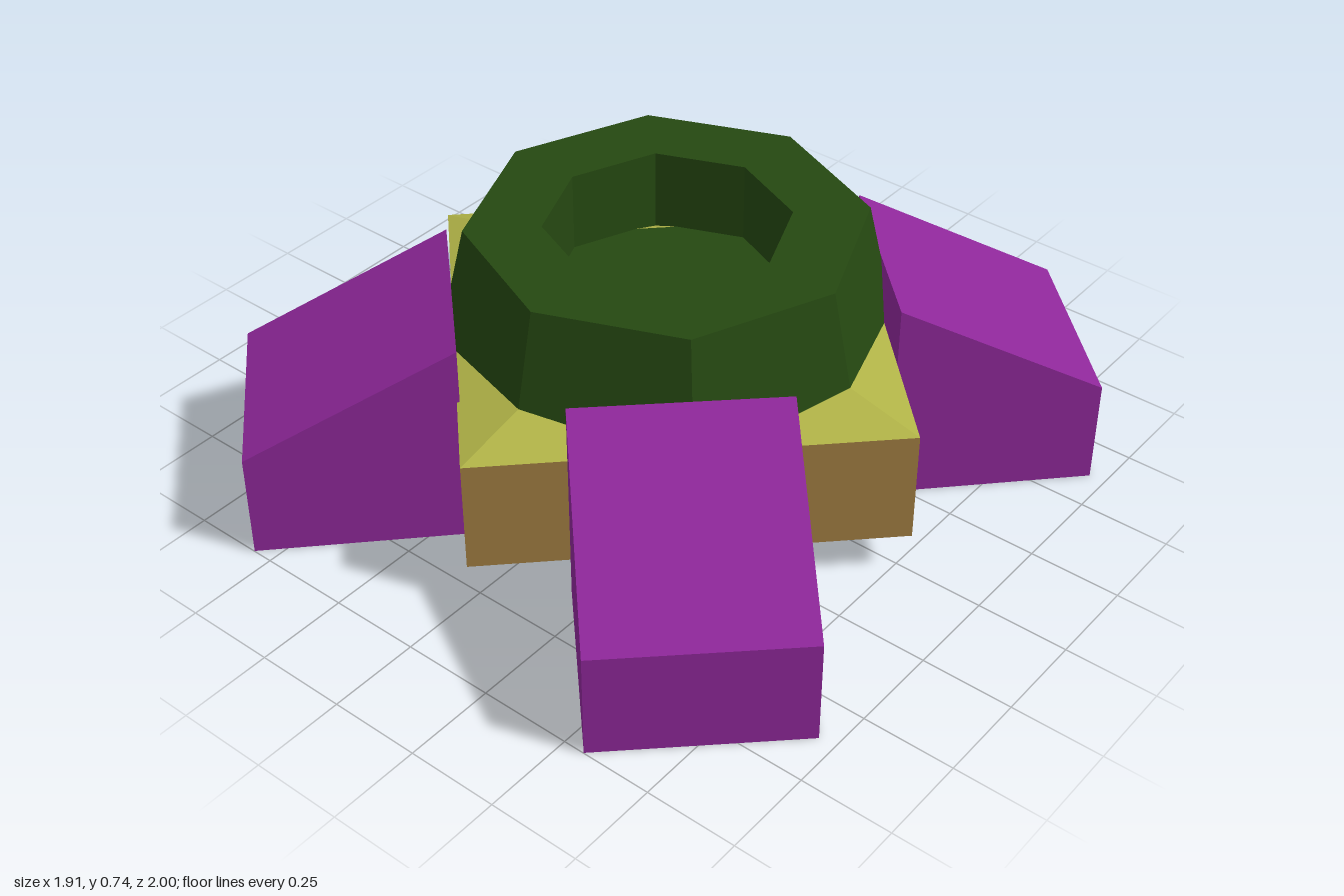
import * as THREE from 'three';

const mat = (name, color) => {
  const m = new THREE.MeshStandardMaterial({ color });
  m.name = name;
  return m;
};

export function createModel() {
  const green = mat('dark green', 0x254811);
  const purple = mat('purple', 0x8e2799);
  const yellow = mat('olive yellow', 0xb0b347);
  const brown = mat('brown', 0xa07d42);

  const model = new THREE.Group();
  model.name = 'turretBase';

  // Faceted mesh helper
  const add = (name, geometry, material, y = 0) => {
    const g = geometry.toNonIndexed();
    g.computeVertexNormals();
    const mesh = new THREE.Mesh(g, material);
    mesh.name = name;
    mesh.position.y = y;
    model.add(mesh);
    return mesh;
  };

  // Octagonal body, widest at mid height, with a socket in the top
  const profile = [[0, 0.02], [0.52, 0.02], [0.602, 0.38], [0.52, 0.74], [0.32, 0.74], [0.32, 0.48]]
    .map(([x, y]) => new THREE.Vector2(x, y));
  add('body', new THREE.LatheGeometry(profile, 8), green);

  // Square collar through the body: sloped roof, upright sides, sloped underside
  add('collarRoof', new THREE.CylinderGeometry(0.42, 0.79, 0.09, 4), [yellow, green, yellow], 0.475);
  add('collarSides', new THREE.CylinderGeometry(0.79, 0.79, 0.315, 4, 1, true), brown, 0.2725);
  add('collarUnderside', new THREE.CylinderGeometry(0.79, 0.42, 0.055, 4), purple, 0.0875);

  // Four wedge-topped feet on the diagonals
  const wedge = new THREE.Shape();
  wedge.moveTo(0, 0);
  wedge.lineTo(0.55, 0);
  wedge.lineTo(0.55, 0.295);
  wedge.lineTo(0, 0.585);
  wedge.closePath();
  const footGeometry = new THREE.ExtrudeGeometry(wedge, { depth: 0.55, bevelEnabled: false });
  footGeometry.translate(0, 0, -0.275);
  for (const sx of [-1, 1]) {
    for (const sz of [-1, 1]) {
      const foot = add((sz > 0 ? 'front' : 'back') + (sx > 0 ? 'Left' : 'Right') + 'Foot', footGeometry, purple);
      foot.position.set(0.375 * sx, 0, 0.412 * sz);
      foot.rotation.y = -Math.atan2(0.395 * sz, 0.38 * sx);
    }
  }
  return model;
}
